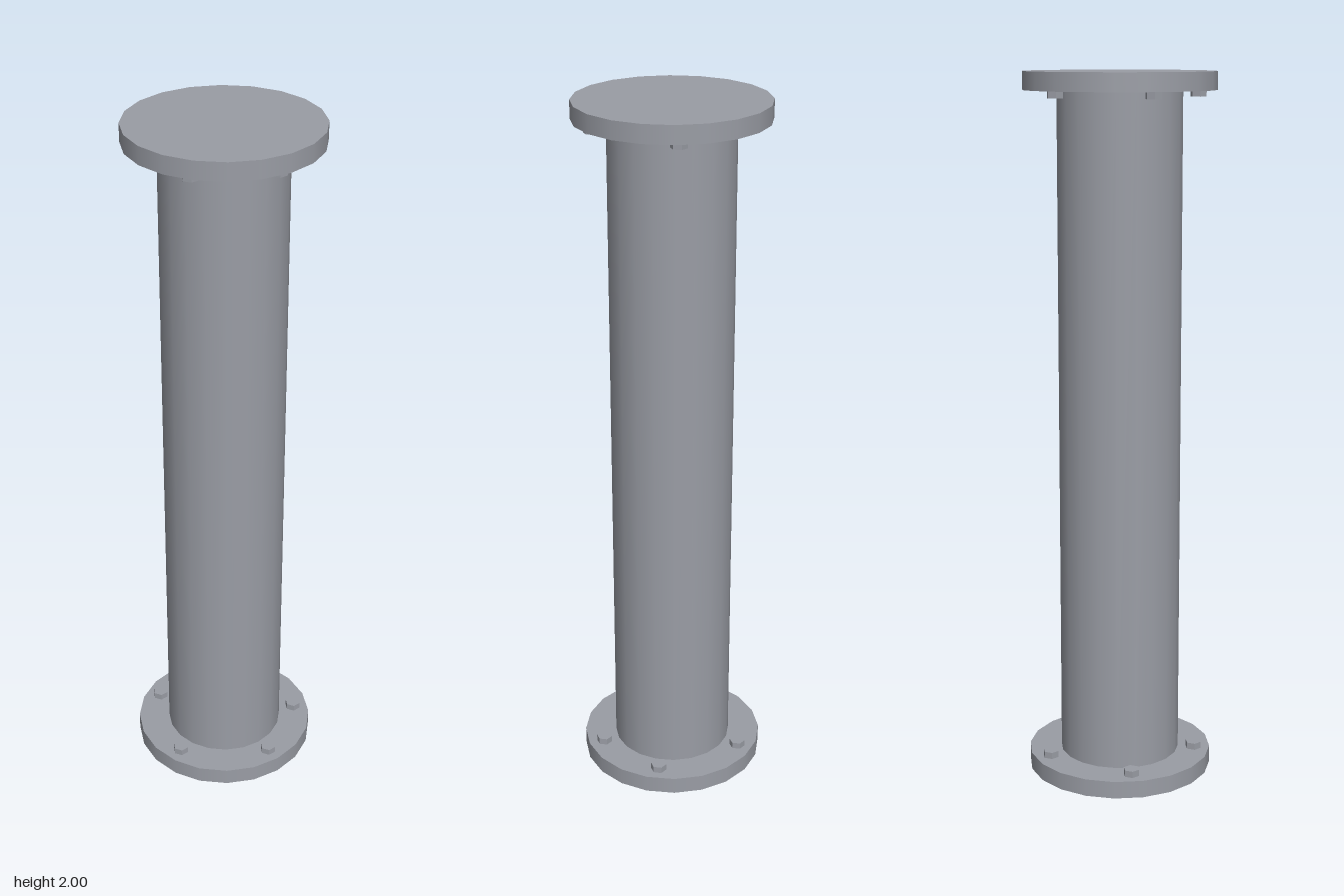
import * as THREE from 'three';

const HEIGHT = 2, PLATE = 0.05, SIDES = 20;

export function createModel() {
  const model = new THREE.Group();
  model.name = 'flangedPipe';
  const steel = new THREE.MeshStandardMaterial({ color: 0x9a9da5 });
  steel.name = 'greySteel';

  const add = (parent, name, geometry, x, y, z) => {
    const mesh = new THREE.Mesh(geometry, steel);
    mesh.name = name;
    mesh.position.set(x, y, z);
    parent.add(mesh);
  };

  // Long round pipe between the two end plates
  add(model, 'pipe', new THREE.CylinderGeometry(0.172, 0.172, HEIGHT - 2 * PLATE, SIDES, 1, true), 0, HEIGHT / 2, 0);

  // End flange with five bolt heads, 75 degrees apart
  const plateGeo = new THREE.CylinderGeometry(0.265, 0.265, PLATE, SIDES);
  const boltGeo = new THREE.CylinderGeometry(0.023, 0.023, 0.02, 6).toNonIndexed();
  boltGeo.computeVertexNormals();
  const makeFlange = (name) => {
    const flange = new THREE.Group();
    flange.name = name;
    add(flange, 'plate', plateGeo, 0, PLATE / 2, 0);
    for (let i = 0; i < 5; i++) {
      const a = THREE.MathUtils.degToRad(75 * i);
      add(flange, 'bolt' + (i + 1), boltGeo, 0.218 * Math.cos(a), PLATE + 0.009, 0.218 * Math.sin(a));
    }
    model.add(flange);
    return flange;
  };

  makeFlange('bottomFlange');

  // The top flange is the same part turned over
  const top = makeFlange('topFlange');
  top.rotation.x = Math.PI;
  top.position.y = HEIGHT;

  return model;
}
